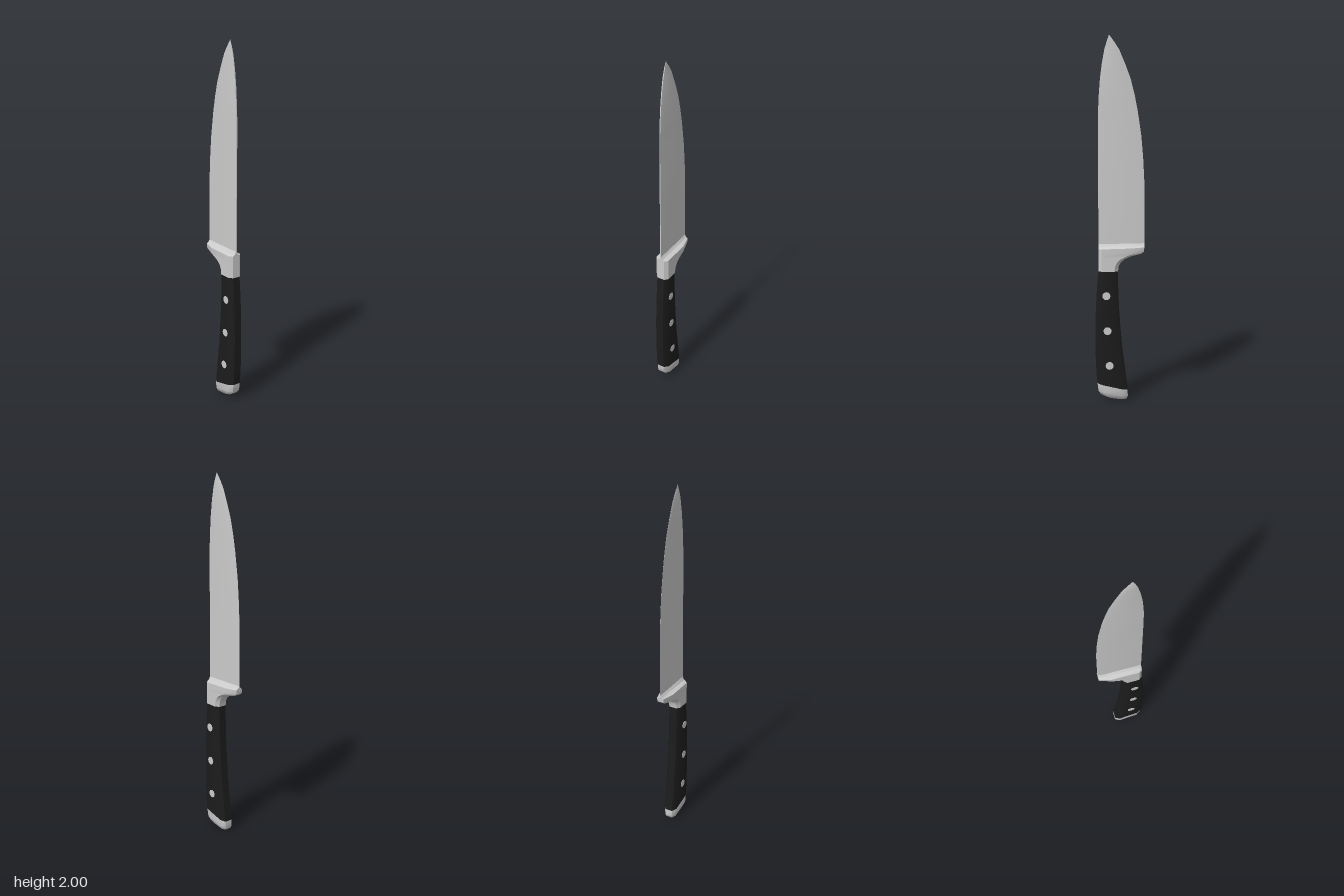
import * as THREE from 'three';
import { toCreasedNormals } from 'three/addons/utils/BufferGeometryUtils.js';

const steel = new THREE.MeshStandardMaterial({ color: 0xcccccc });
const black = new THREE.MeshStandardMaterial({ color: 0x1c1c1c });

// Eight-sided section from its left end (x0, y0) to its right end (x1, y1).
// hz: half thickness; cl, cr: chamfer lengths; el, er: half thickness at the ends.
function ring([x0, y0, x1, y1, hz, cl, el, cr, er]) {
  const at = (x, z) => new THREE.Vector3(x, y0 + ((y1 - y0) * (x - x0)) / (x1 - x0), z);
  return [
    at(x1, er), at(x1, -er), at(x1 - cr, -hz), at(x0 + cl, -hz),
    at(x0, -el), at(x0, el), at(x0 + cl, hz), at(x1 - cr, hz),
  ];
}

// Closed skin over sections listed from bottom to top
function loft(sections, crease) {
  const rings = sections.map(ring);
  const n = 8;
  const pos = rings.flat().flatMap((p) => p.toArray());
  const index = [];
  for (let i = 0; i < rings.length - 1; i++) {
    for (let j = 0; j < n; j++) {
      const a = i * n + j, b = i * n + ((j + 1) % n);
      index.push(a, b, b + n, a, b + n, a + n);
    }
  }
  const top = (rings.length - 1) * n;
  for (let j = 1; j < n - 1; j++) {
    index.push(0, j + 1, j, top, top + j, top + j + 1);
  }
  const geo = new THREE.BufferGeometry();
  geo.setAttribute('position', new THREE.Float32BufferAttribute(pos, 3));
  geo.setIndex(index);
  return toCreasedNormals(geo, crease);
}

export function createModel() {
  const group = new THREE.Group();
  const add = (name, geo, mat) => {
    const mesh = new THREE.Mesh(geo, mat);
    mesh.name = name;
    group.add(mesh);
    return mesh;
  };

  // Blade: curved cutting edge on the left, spine on the right
  const blade = [
    [0.86, -0.135, 0.115], [1.05, -0.136, 0.115], [1.2, -0.135, 0.115],
    [1.34, -0.128, 0.115], [1.47, -0.117, 0.115], [1.61, -0.096, 0.114],
    [1.69, -0.08, 0.11], [1.77, -0.06, 0.104], [1.85, -0.03, 0.094],
    [1.925, 0.002, 0.08], [1.965, 0.028, 0.068], [2.0, 0.0545, 0.0555],
  ].map(([y, x0, x1]) => {
    const w = x1 - x0, hz = Math.min(0.0032, w * 0.06);
    return [x0, y, x1, y, hz, w * 0.16, 0.0003, w * 0.02, hz * 0.8];
  });
  add('blade', loft(blade, 0.4), steel);

  // Bolster: sweeps out to the heel, then tapers up into the blade
  add('bolster', loft([
    [0.008, 0.735, 0.115, 0.735, 0.038, 0.02, 0.022, 0.018, 0.022],
    [0.004, 0.765, 0.115, 0.765, 0.038, 0.02, 0.022, 0.018, 0.022],
    [-0.008, 0.785, 0.115, 0.783, 0.038, 0.022, 0.022, 0.018, 0.022],
    [-0.03, 0.803, 0.115, 0.797, 0.038, 0.028, 0.022, 0.018, 0.022],
    [-0.065, 0.818, 0.115, 0.809, 0.038, 0.036, 0.022, 0.018, 0.022],
    [-0.118, 0.831, 0.115, 0.822, 0.038, 0.06, 0.018, 0.018, 0.022],
    [-0.132, 0.842, 0.115, 0.834, 0.038, 0.068, 0.019, 0.018, 0.022],
    [-0.135, 0.866, 0.115, 0.858, 0.038, 0.07, 0.02, 0.018, 0.022],
    [-0.135, 0.873, 0.115, 0.866, 0.014, 0.06, 0.009, 0.015, 0.01],
    [-0.135, 0.886, 0.115, 0.882, 0.0034, 0.045, 0.001, 0.01, 0.003],
  ], 0.6), steel);

  // Handle: gently curved grip with chamfered sides
  const grip = [
    [-0.045, 0.062, 0.122, 0.1], [-0.037, 0.125, 0.127, 0.15],
    [-0.026, 0.21, 0.131, 0.22], [-0.015, 0.3, 0.133, 0.3],
    [-0.006, 0.4, 0.133, 0.4], [0.001, 0.5, 0.131, 0.5],
    [0.006, 0.6, 0.126, 0.6], [0.008, 0.68, 0.12, 0.68], [0.008, 0.735, 0.115, 0.735],
  ].map((s) => [...s, 0.038, 0.025, 0.022, 0.026, 0.022]);
  add('handle', loft(grip, 0.6), black);

  // End cap: slanted butt with rounded edges
  add('endCap', loft([
    [-0.028, 0.003, 0.07, 0.017, 0.022, 0.02, 0.012, 0.02, 0.012],
    [-0.04, 0.01, 0.1, 0.034, 0.031, 0.022, 0.018, 0.024, 0.018],
    [-0.046, 0.026, 0.117, 0.055, 0.037, 0.025, 0.021, 0.026, 0.021],
    [-0.045, 0.062, 0.122, 0.1, 0.038, 0.025, 0.022, 0.026, 0.022],
  ], 0.7), steel);

  // Rivets: pins through the handle, showing on both faces
  [[0.072, 0.6], [0.066, 0.403], [0.055, 0.205]].forEach(([x, y]) => {
    const pin = add('rivet', new THREE.CylinderGeometry(0.022, 0.022, 0.08, 16), steel);
    pin.rotation.x = Math.PI / 2;
    pin.position.set(x, y, 0);
  });

  return group;
}
